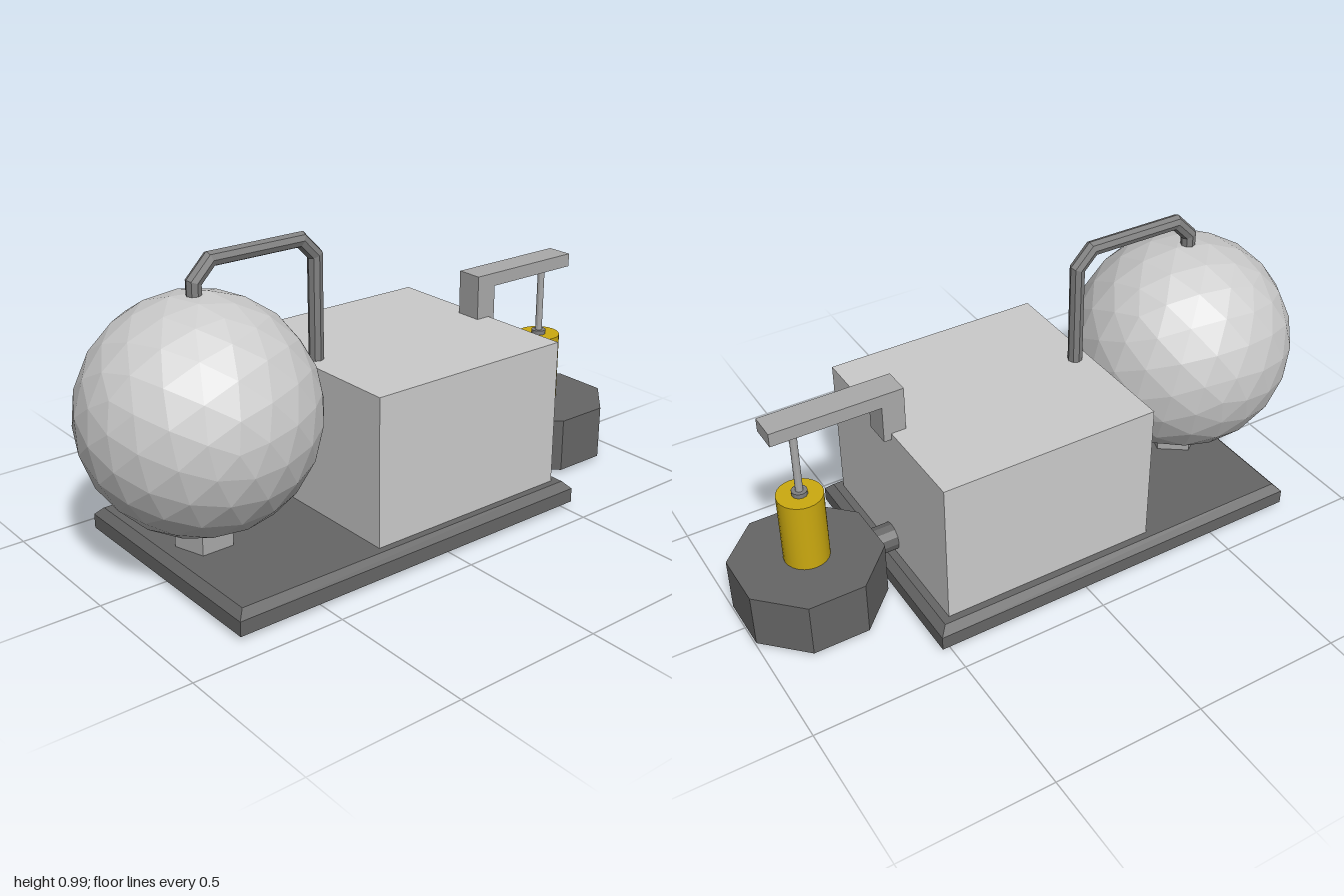
import * as THREE from 'three';

const mat = (color, extra = {}) => new THREE.MeshStandardMaterial({ color, flatShading: true, ...extra });
const light = mat(0xcccccc);
const mid = mat(0xaaaaaa);
const pipeGrey = mat(0x808080);
const dark = mat(0x666666);
const gold = mat(0xccaa10, { flatShading: false });

function add(parent, name, geometry, material, x = 0, y = 0, z = 0) {
  const mesh = new THREE.Mesh(geometry, material);
  mesh.name = name;
  mesh.position.set(x, y, z);
  parent.add(mesh);
  return mesh;
}

// Box given by its half width and its y and z ranges, centred on x = 0
function block(parent, name, halfX, y0, y1, z0, z1, material, inset = 0) {
  const g = new THREE.BoxGeometry(2 * halfX, y1 - y0, z1 - z0);
  const p = g.attributes.position;
  for (let i = 0; i < p.count; i++) {
    if (p.getY(i) < 0) continue;
    p.setX(i, p.getX(i) - Math.sign(p.getX(i)) * inset);
    p.setZ(i, p.getZ(i) - Math.sign(p.getZ(i)) * inset);
  }
  return add(parent, name, g, material, 0, (y0 + y1) / 2, (z0 + z1) / 2);
}

// Mitred pipe along [z, y] points in the x = 0 plane
function mitredPipe(path, r, sides) {
  const pts = path.map(([z, y]) => new THREE.Vector2(z, y));
  const pos = [], idx = [];
  pts.forEach((p, i) => {
    const a = p.clone().sub(pts[Math.max(i - 1, 0)]).normalize();
    const b = pts[Math.min(i + 1, pts.length - 1)].clone().sub(p).normalize();
    const t = a.clone().add(b).normalize();
    const stretch = r / t.dot(i ? a : b);
    for (let k = 0; k < sides; k++) {
      const th = (k / sides) * Math.PI * 2;
      const o = Math.cos(th) * stretch;
      pos.push(Math.sin(th) * r, p.y + t.x * o, p.x - t.y * o);
      if (i) {
        const n = (k + 1) % sides, c = i * sides, d = c - sides;
        idx.push(d + k, c + k, d + n, d + n, c + k, c + n);
      }
    }
  });
  const g = new THREE.BufferGeometry();
  g.setAttribute('position', new THREE.Float32BufferAttribute(pos, 3));
  g.setIndex(idx);
  const flat = g.toNonIndexed();
  flat.computeVertexNormals();
  return flat;
}

export function createModel() {
  const model = new THREE.Group();
  model.name = 'pumpUnit';

  // Base plate with a chamfered upper edge
  const base = new THREE.Group();
  base.name = 'base';
  model.add(base);
  block(base, 'basePlate', 0.415, 0.015, 0.063, -0.53, 0.79, dark);
  block(base, 'baseChamfer', 0.415, 0.063, 0.088, -0.53, 0.79, dark, 0.024);

  // Main housing
  block(model, 'housing', 0.367, 0.08, 0.577, -0.48, 0.255, light);

  // Faceted tank on a five-sided foot
  const tank = add(model, 'tank', new THREE.IcosahedronGeometry(0.368, 3), light, 0, 0.51, 0.635);
  tank.rotation.set(0.14, 0.3, 0.1);
  add(model, 'tankFoot', new THREE.CylinderGeometry(0.092, 0.092, 0.14, 5, 1, false, -Math.PI / 2),
    mid, 0, 0.15, 0.637);

  // Pipe from tank to housing
  const path = [[0.635, 0.84], [0.635, 0.91], [0.578, 0.968], [0.26, 0.968], [0.207, 0.912], [0.207, 0.56]];
  add(model, 'transferPipe', mitredPipe(path, 0.024, 8), mat(0x808080, { side: THREE.DoubleSide }));

  // Overhanging arm
  const arm = new THREE.Group();
  arm.name = 'arm';
  model.add(arm);
  block(arm, 'armPost', 0.045, 0.555, 0.68, -0.505, -0.43, mid);
  block(arm, 'armBar', 0.045, 0.68, 0.725, -0.86, -0.43, mid);

  // Plunger: rod, collar, body and pointed tip
  const plunger = new THREE.Group();
  plunger.name = 'plunger';
  plunger.position.z = -0.772;
  model.add(plunger);
  add(plunger, 'rod', new THREE.CylinderGeometry(0.012, 0.012, 0.25, 12), mid, 0, 0.565, 0);
  add(plunger, 'collar', new THREE.CylinderGeometry(0.025, 0.025, 0.03, 12), pipeGrey, 0, 0.44, 0);
  add(plunger, 'plungerBody', new THREE.CylinderGeometry(0.073, 0.073, 0.36, 24), gold, 0, 0.26, 0);
  add(plunger, 'plungerTip', new THREE.CylinderGeometry(0.073, 0, 0.08, 24, 1, true), gold, 0, 0.04, 0);

  // Eight-sided hollow casing, open below
  const ro = 0.2435, ri = 0.226;
  const profile = [[0, 0.183], [ri, 0.183], [ri, 0.015], [ro, 0.015], [ro, 0.2], [0, 0.2]]
    .map(([x, y]) => new THREE.Vector2(x, y));
  add(model, 'casing', new THREE.LatheGeometry(profile, 8, Math.PI / 8).toNonIndexed(),
    mat(0x666666, { side: THREE.DoubleSide }), 0, 0, -0.775);

  // Open duct between housing and casing
  const duct = add(model, 'duct', new THREE.CylinderGeometry(0.047, 0.047, 0.12, 12, 1, true),
    mat(0x666666, { side: THREE.DoubleSide }), 0, 0.139, -0.53);
  duct.rotation.x = Math.PI / 2;

  return model;
}
